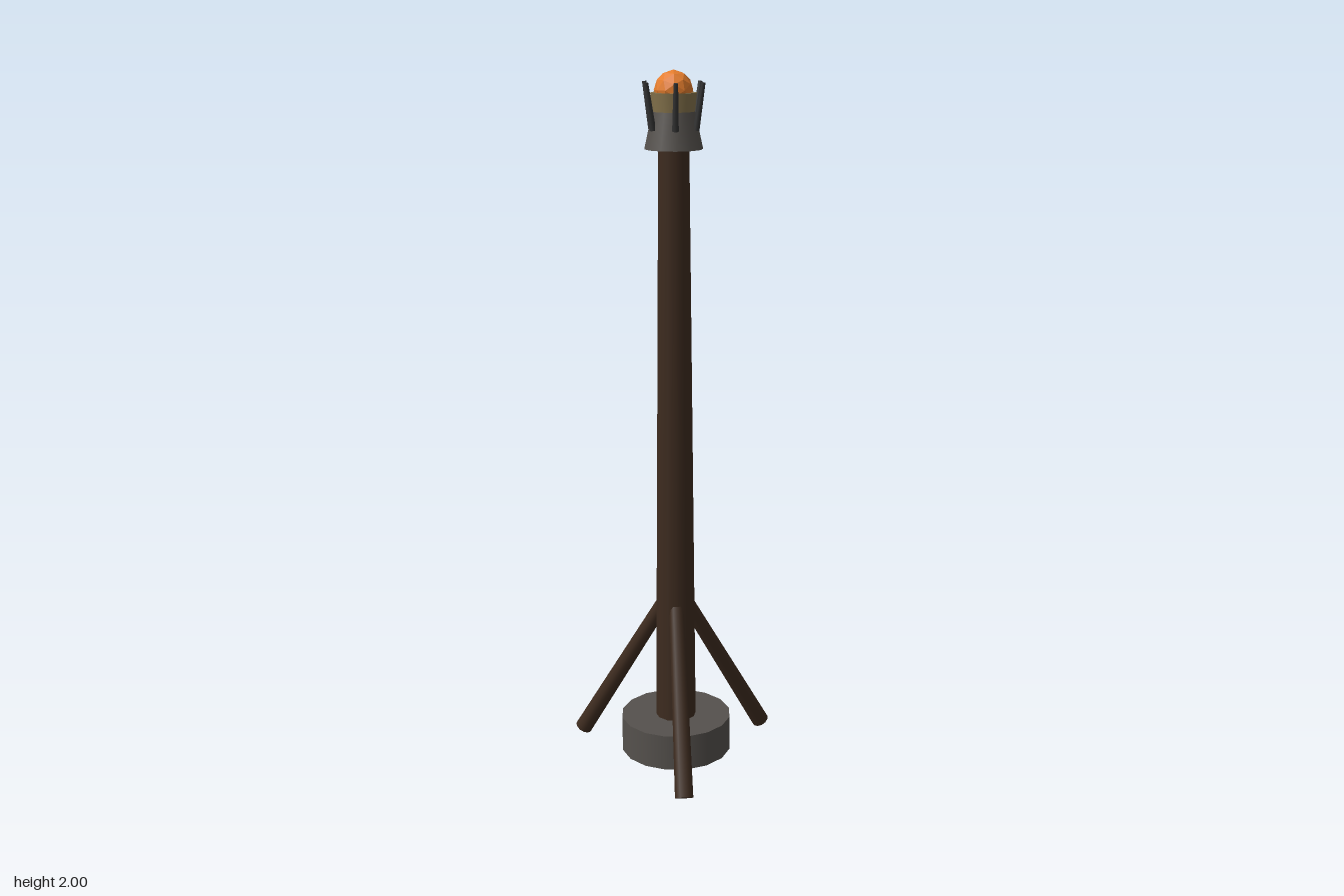
import * as THREE from 'three';

const material = (name, color) => {
  const m = new THREE.MeshStandardMaterial({ color });
  m.name = name;
  return m;
};

export function createModel() {
  const wood = material('dark wood', 0x3d2b1f);
  const stone = material('grey stone', 0x55514d);
  const iron = material('dark iron', 0x333333);
  const binding = material('tan binding', 0x85734c);
  const ember = material('orange ember', 0xe67e2e);
  ember.flatShading = true;

  const model = new THREE.Group();
  model.name = 'standingTorch';
  // the shaft stands off-centre because one leg reaches towards +x
  const torch = new THREE.Group();
  torch.name = 'torch';
  torch.position.x = -0.078;
  model.add(torch);

  const add = (parent, name, geometry, mat, y = 0) => {
    const mesh = new THREE.Mesh(geometry, mat);
    mesh.name = name;
    mesh.position.y = y;
    parent.add(mesh);
    return mesh;
  };

  // upright tapered cylinder between two heights
  const column = (name, rTop, rBottom, y0, y1, sides, mat) =>
    add(torch, name, new THREE.CylinderGeometry(rTop, rBottom, y1 - y0, sides), mat, (y0 + y1) / 2);

  // tapered rod from point a to point b
  const rod = (parent, name, a, b, rA, rB, sides, mat) => {
    const dir = b.clone().sub(a);
    const mesh = add(parent, name, new THREE.CylinderGeometry(rB, rA, dir.length(), sides), mat);
    mesh.position.copy(a).add(b).multiplyScalar(0.5);
    mesh.quaternion.setFromUnitVectors(new THREE.Vector3(0, 1, 0), dir.normalize());
  };

  // base and shaft
  column('base', 0.162, 0.162, 0.02, 0.125, 16, stone);
  column('shaft', 0.042, 0.06, 0.018, 1.83, 12, wood);

  // head: flared collar, bound fuel and glowing ember
  column('collar', 0.058, 0.08, 1.79, 1.89, 12, stone);
  column('fuelBinding', 0.063, 0.056, 1.87, 1.94, 12, binding);
  add(torch, 'ember', new THREE.IcosahedronGeometry(0.053, 1), ember, 1.947);

  // three splayed legs
  for (let i = 0; i < 3; i++) {
    const leg = new THREE.Group();
    leg.name = 'leg';
    leg.rotation.y = (i * Math.PI * 2) / 3;
    torch.add(leg);
    rod(leg, 'legStrut', new THREE.Vector3(0.316, 0.0135, 0), new THREE.Vector3(0.028, 0.489, 0),
      0.026, 0.021, 12, wood);
  }

  // six outward-leaning prongs around the ember
  for (let i = 0; i < 6; i++) {
    const prong = new THREE.Group();
    prong.name = 'prong';
    prong.rotation.y = (i * Math.PI) / 3;
    torch.add(prong);
    rod(prong, 'prongSpike', new THREE.Vector3(0.067, 1.842, 0), new THREE.Vector3(0.088, 1.968, 0),
      0.009, 0.006, 6, iron);
  }

  return model;
}
